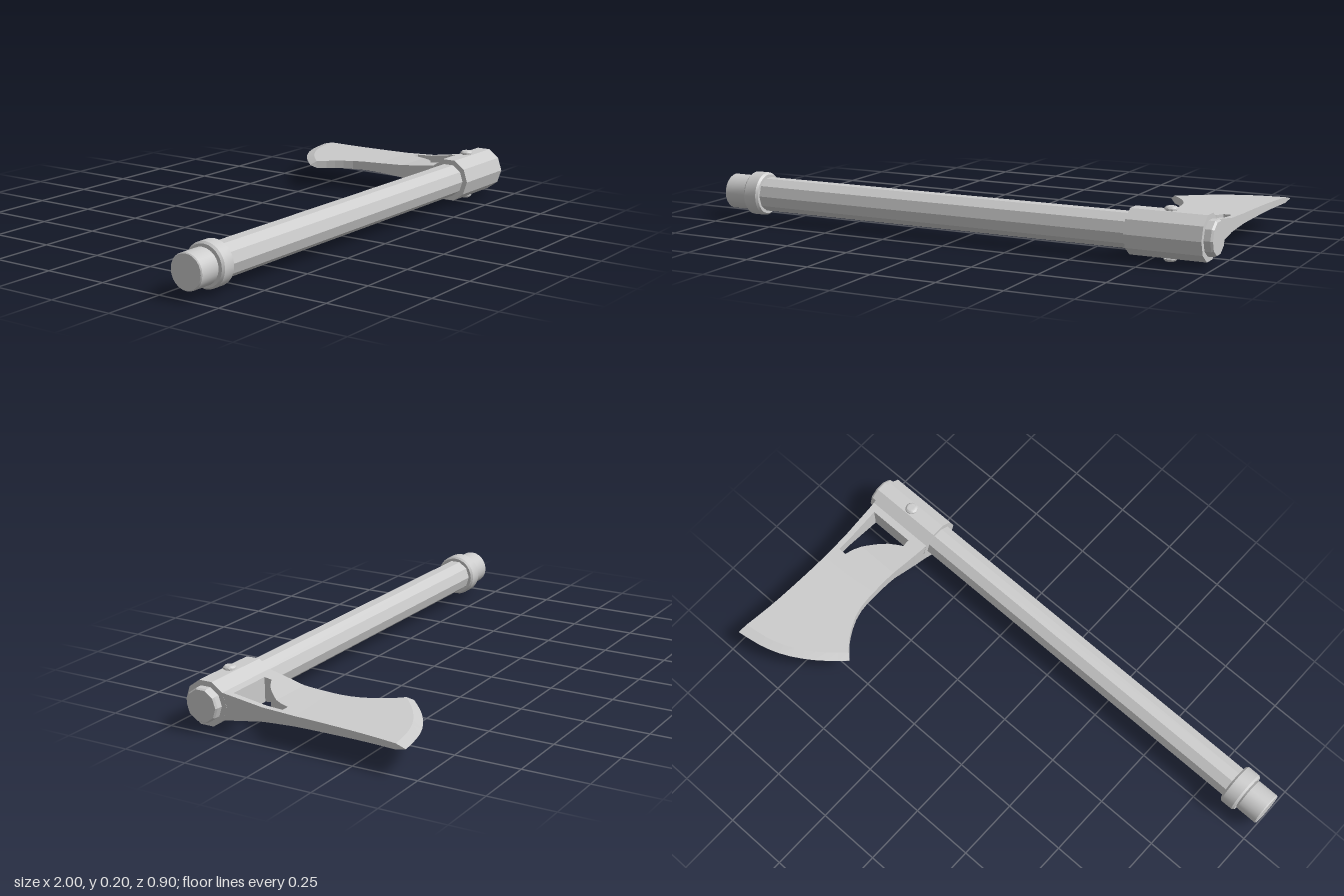
import * as THREE from 'three';
import { toCreasedNormals } from 'three/addons/utils/BufferGeometryUtils.js';

const AXIS_Y = 0.0985, AXIS_Z = 0.365;
const flat = new THREE.MeshStandardMaterial({ color: 0xcccccc, flatShading: true });
const smooth = new THREE.MeshStandardMaterial({ color: 0xcccccc });
const V2 = (p) => new THREE.Vector2(...p);

// Solid of revolution; profile points are [radius, position along axis]
function turned(name, profile, sides, faceted) {
  const geo = new THREE.LatheGeometry(profile.map(V2), sides);
  const mesh = faceted
    ? new THREE.Mesh(geo, flat)
    : new THREE.Mesh(toCreasedNormals(geo, 0.5), smooth);
  mesh.name = name;
  return mesh;
}

// Turned part lying along x on the shaft axis
function onShaft(name, profile, sides, faceted) {
  const mesh = turned(name, profile, sides, faceted);
  mesh.geometry.rotateZ(-Math.PI / 2);
  mesh.position.set(0, AXIS_Y, AXIS_Z);
  return mesh;
}

// Half thickness of the head, tapering from the socket to the edge
const TAPER = [[0.295, 0.051], [0.13, 0.026], [0, 0.019], [-0.46, 0.01]];
function halfThickness(z) {
  for (let i = 1; i < TAPER.length; i++) {
    const [z0, h0] = TAPER[i - 1], [z1, h1] = TAPER[i];
    if (z >= z1) return h0 + (h1 - h0) * (z0 - z) / (z0 - z1);
  }
  return TAPER[TAPER.length - 1][1];
}

// Closed plate from rows of [x, z, half thickness]; rows run +x and advance to -z
function plate(name, rows) {
  const pos = [];
  const nj = rows.length - 1, ni = rows[0].length - 1;
  const P = (i, j, s) => [rows[j][i][0], s * rows[j][i][2], rows[j][i][1]];
  const quad = (a, b, c, d) => pos.push(...a, ...b, ...c, ...a, ...c, ...d);
  for (let j = 0; j < nj; j++) {
    for (let i = 0; i < ni; i++) {
      quad(P(i, j, 1), P(i + 1, j, 1), P(i + 1, j + 1, 1), P(i, j + 1, 1));
      quad(P(i, j, -1), P(i, j + 1, -1), P(i + 1, j + 1, -1), P(i + 1, j, -1));
    }
    quad(P(0, j, 1), P(0, j + 1, 1), P(0, j + 1, -1), P(0, j, -1));
    quad(P(ni, j, 1), P(ni, j, -1), P(ni, j + 1, -1), P(ni, j + 1, 1));
  }
  for (let i = 0; i < ni; i++) {
    quad(P(i, 0, -1), P(i + 1, 0, -1), P(i + 1, 0, 1), P(i, 0, 1));
    quad(P(i, nj, -1), P(i, nj, 1), P(i + 1, nj, 1), P(i + 1, nj, -1));
  }
  const geo = new THREE.BufferGeometry();
  geo.setAttribute('position', new THREE.Float32BufferAttribute(pos, 3));
  geo.computeVertexNormals();
  const mesh = new THREE.Mesh(geo, flat);
  mesh.name = name;
  mesh.position.y = AXIS_Y;
  return mesh;
}

// Straight-sided plate from [z, left x, right x] stations
const strip = (name, stations) => plate(name, stations.map(([z, l, r]) =>
  [[l, z, halfThickness(z)], [r, z, halfThickness(z)]]));

// Blade: surface blended between its four outline curves
function bladeBody() {
  const curve = (pts) => new THREE.SplineCurve(pts.map(V2));
  const left = curve([[0.711, 0.064], [0.709, -0.03], [0.698, -0.09], [0.674, -0.145], [0.634, -0.205], [0.588, -0.25]]);
  const right = curve([[0.963, 0.064], [0.964, -0.06], [0.972, -0.24], [0.982, -0.35], [0.995, -0.453]]);
  const edge = curve([[0.588, -0.25], [0.685, -0.335], [0.79, -0.4], [0.888, -0.435], [0.995, -0.453]]);
  const base = new THREE.LineCurve(V2([0.711, 0.064]), V2([0.963, 0.064]));
  // The last interval is the ground bevel; columns match the window's top corners
  const across = [0, 0.1, 0.2, 0.3, 0.4, 0.5, 0.6, 0.7, 0.786, 0.913, 1];
  const along = [0, 0.12, 0.24, 0.36, 0.48, 0.6, 0.7, 0.8, 0.92, 1];
  const corners = [base.getPoint(0), base.getPoint(1), edge.getPoint(0), edge.getPoint(1)];
  const coons = (s, t, k) => {
    const [a, b, c, d] = corners.map((p) => p[k]);
    const ruled = (1 - t) * base.getPoint(s)[k] + t * edge.getPointAt(s)[k]
      + (1 - s) * left.getPointAt(t)[k] + s * right.getPointAt(t)[k];
    return ruled - ((1 - t) * ((1 - s) * a + s * b) + t * ((1 - s) * c + s * d));
  };
  return plate('blade', along.map((t) => across.map((s) => {
    const z = coons(s, t, 'y');
    return [coons(s, t, 'x'), z, t === 1 ? 0.0005 : halfThickness(z)];
  })));
}

export function createModel() {
  const model = new THREE.Group();

  // Ten-sided shaft, grip cap and collar
  model.add(onShaft('shaft', [[0, -0.88], [0.066, -0.88], [0.066, 0.992], [0.061, 1], [0, 1]], 10, true));
  model.add(onShaft('gripCap', [[0, -1], [0.063, -1], [0.0665, -0.996], [0.0665, -0.912], [0.062, -0.905], [0.062, -0.89]], 24, false));
  model.add(onShaft('collar', [[0.058, -0.905], [0.076, -0.905], [0.083, -0.897], [0.083, -0.848], [0.076, -0.84], [0.058, -0.84]], 24, false));

  // Axe head: socket, web around the triangular window, blade
  const head = new THREE.Group();
  head.name = 'axeHead';
  head.add(onShaft('socket', [[0.055, 0.683], [0.0865, 0.683], [0.0865, 0.968], [0.055, 0.968]], 10, true));
  head.add(strip('headBase', [[0.295, 0.683, 0.968], [0.267, 0.687, 0.967]]));
  head.add(strip('windowWeb', [
    [0.267, 0.687, 0.754], [0.237, 0.691, 0.754], [0.225, 0.693, 0.776], [0.205, 0.696, 0.808],
    [0.18, 0.7, 0.836], [0.15, 0.705, 0.864], [0.13, 0.708, 0.881], [0.1, 0.71, 0.897], [0.064, 0.711, 0.909],
  ]));
  head.add(strip('windowBar', [[0.267, 0.941, 0.967], [0.13, 0.941, 0.964], [0.064, 0.941, 0.963]]));
  head.add(bladeBody());
  model.add(head);

  // Rivets above and below the socket
  for (const side of [1, -1]) {
    const rivet = turned('rivet', [[0.02, 0.075], [0.02, 0.084], [0.025, 0.086], [0.024, 0.091], [0.018, 0.0965], [0.01, 0.0985], [0, 0.0985]], 12, false);
    rivet.position.set(0.825, AXIS_Y, AXIS_Z);
    if (side < 0) rivet.rotation.x = Math.PI;
    model.add(rivet);
  }
  return model;
}
